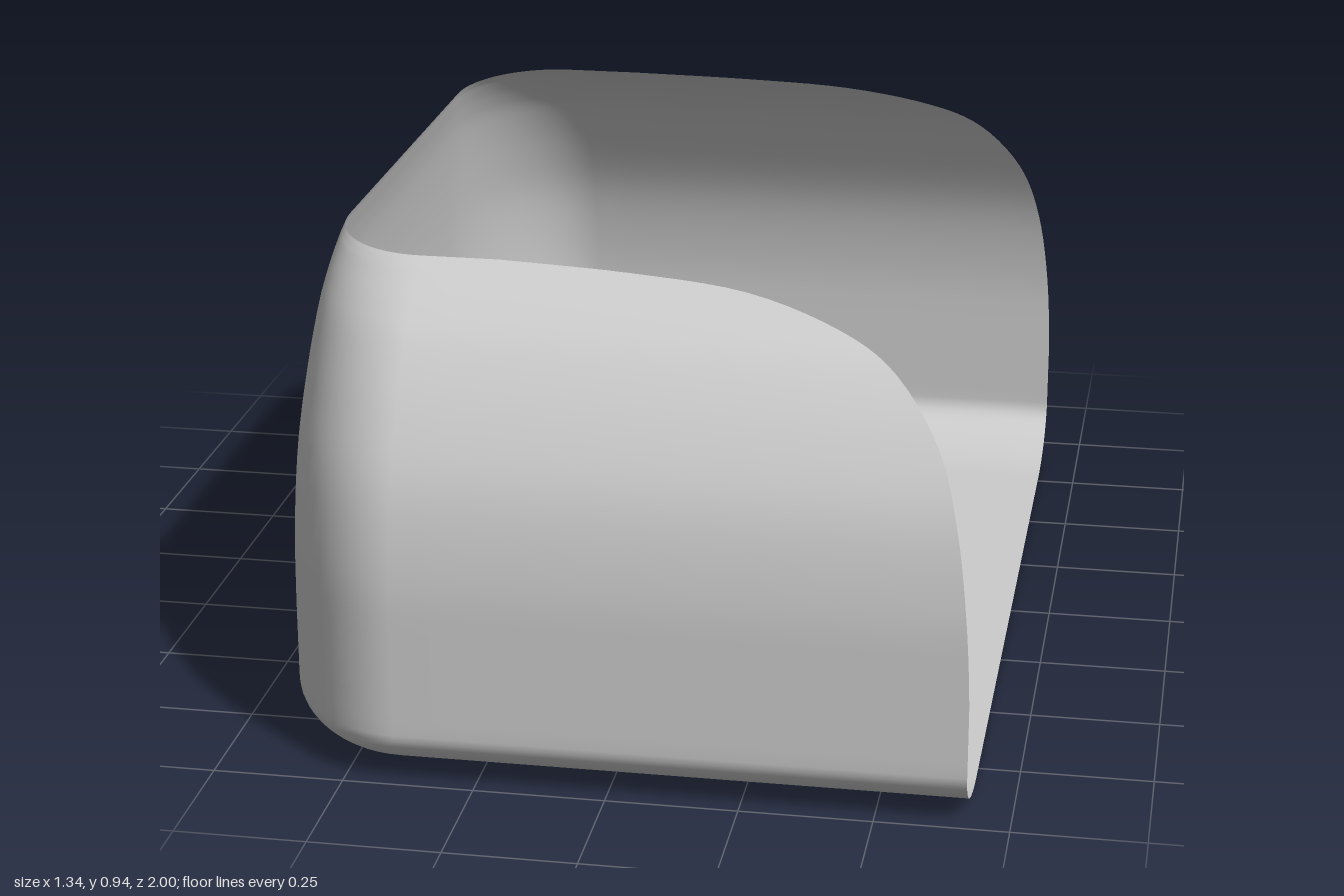
import * as THREE from 'three';

const V = (x, y, z) => new THREE.Vector3(x, y, z);
const FRONT = 0.67, BEND = -0.4; // open end, and where the rear corners begin

// Side wall profile: half width, height, back position
const wall = new THREE.CatmullRomCurve3([
  V(1, 0.1, -0.67), V(1, 0.24, -0.67), V(0.997, 0.41, -0.667), V(0.968, 0.57, -0.659),
  V(0.91, 0.7, -0.647), V(0.84, 0.81, -0.632), V(0.785, 0.87, -0.62), V(0.73, 0.915, -0.608),
  V(0.705, 0.932, -0.603), V(0.69, 0.94, -0.6)
], false, 'catmullrom');

// Swept open edge: end of the wall, height, corner depth
const trim = new THREE.CatmullRomCurve3([
  V(0.67, 0.1, 0.4), V(0.67, 0.24, 0.4), V(0.66, 0.41, 0.4), V(0.637, 0.57, 0.385),
  V(0.595, 0.7, 0.36), V(0.51, 0.81, 0.32), V(0.4, 0.87, 0.29), V(0.22, 0.915, 0.26),
  V(0, 0.932, 0.25), V(-0.25, 0.94, 0.24)
], false, 'catmullrom');

// U-shaped plan of one level, from the left open edge round the back to the right
function planRow(y, half, back, end, depth, flat = 1) {
  const side = [];
  for (let i = 0; i < 12; i++) side.push([end + (BEND - end) * i / 12, half]);
  for (let i = 0; i <= 16; i++) {
    const a = i / 16 * Math.PI / 2;
    side.push([BEND - (BEND - back) * Math.sin(a), half - depth + depth * Math.cos(a)]);
  }
  const other = side.map(([x, z]) => [x, -z]).reverse();
  return [...side, ...other].map(([x, z]) => [x, y, z * flat]);
}

function shellGeometry() {
  // Flat floor, starting from the centre line
  const rows = [planRow(0, 0.78, -0.48, FRONT, 0.18, 0)];
  // Rounded bottom edge
  for (let i = 0; i < 12; i++) {
    const a = i / 12 * Math.PI / 2, s = Math.sin(a);
    const half = 0.78 + 0.22 * s;
    rows.push(planRow(0.1 * (1 - Math.cos(a)), half, -0.48 - 0.19 * s, FRONT, half - 0.6));
  }
  // Walls curving inward to the rim
  for (let i = 0; i <= 45; i++) {
    const w = wall.getPoint(i / 45), t = trim.getPoint(i / 45);
    rows.push(planRow(w.y, Math.min(w.x, 1), Math.max(w.z, -0.67), Math.min(t.x, FRONT), Math.min(t.z, 0.4)));
  }
  const n = rows[0].length, index = [];
  for (let r = 0; r < rows.length - 1; r++) {
    for (let i = 0; i < n - 1; i++) {
      const a = r * n + i, b = a + n;
      index.push(a, b, a + 1, a + 1, b, b + 1);
    }
  }
  const geo = new THREE.BufferGeometry();
  geo.setAttribute('position', new THREE.Float32BufferAttribute(rows.flat(2), 3));
  geo.setIndex(index);
  geo.computeVertexNormals();
  return geo;
}

export function createModel() {
  const group = new THREE.Group();
  group.name = 'openShell';
  const grey = new THREE.MeshStandardMaterial({ color: 0xcccccc, side: THREE.DoubleSide });
  grey.name = 'light grey';
  const shell = new THREE.Mesh(shellGeometry(), grey);
  shell.name = 'shell';
  group.add(shell);
  return group;
}
